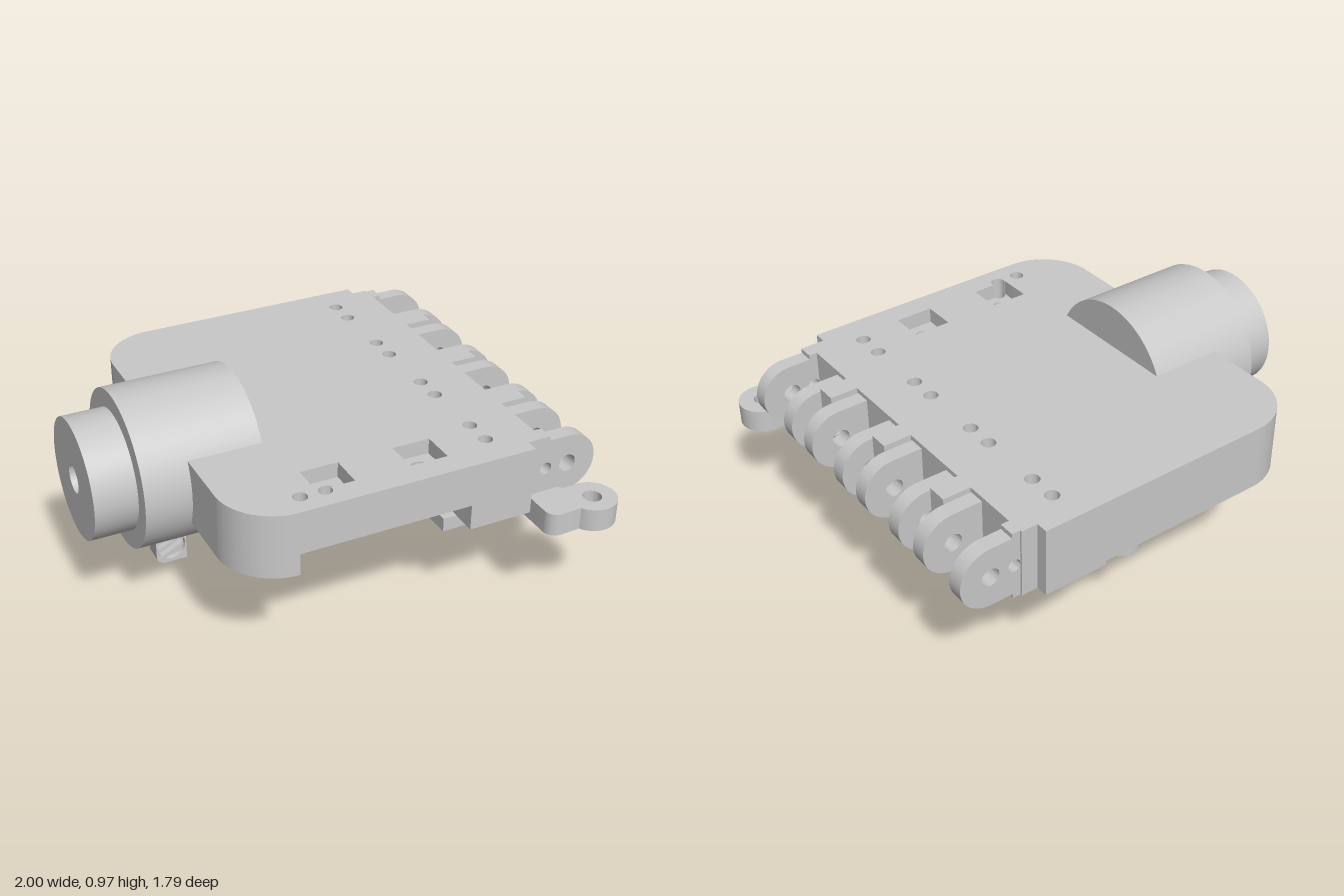
import * as THREE from 'three';
import { toCreasedNormals } from 'three/addons/utils/BufferGeometryUtils.js';

const metal = new THREE.MeshStandardMaterial({ color: 0xc8c8c8 });
metal.name = 'grey metal';

export function createModel() {
  const root = new THREE.Group();
  root.name = 'hingedHousing';

  const add = (name, geo) => {
    const m = new THREE.Mesh(geo, metal);
    m.name = name;
    root.add(m);
    return m;
  };
  const box = (name, x0, x1, y0, y1, z0, z1) => {
    const g = new THREE.BoxGeometry(x1 - x0, y1 - y0, z1 - z0);
    g.translate((x0 + x1) / 2, (y0 + y1) / 2, (z0 + z1) / 2);
    return add(name, g);
  };
  const circle = (x, y, r) => new THREE.Path().absarc(x, y, r, 0, Math.PI * 2, true);
  const rect = (x0, x1, y0, y1, T = THREE.Shape) => {
    const s = new T();
    s.moveTo(x0, y0); s.lineTo(x1, y0); s.lineTo(x1, y1); s.lineTo(x0, y1); s.closePath();
    return s;
  };
  const extrude = (shape, holes, depth) => {
    shape.holes.push(...holes);
    const g = new THREE.ExtrudeGeometry(shape, { depth, bevelEnabled: false, curveSegments: 20 });
    return toCreasedNormals(g, 0.6);
  };
  // Shape given in x,z; slab between two heights
  const slab = (name, shape, holes, y0, y1) =>
    add(name, extrude(shape, holes, y1 - y0).rotateX(Math.PI / 2).translate(0, y1, 0));

  // Plan outline with large rounded corners on the hub side
  const outline = (x0, x1, z0, z1, r, T = THREE.Shape) => {
    const s = new T();
    s.moveTo(x1, z0); s.lineTo(x1, z1); s.lineTo(x0 + r, z1);
    s.absarc(x0 + r, z1 - r, r, Math.PI / 2, Math.PI, false);
    s.lineTo(x0, z0 + r);
    s.absarc(x0 + r, z0 + r, r, Math.PI, Math.PI * 1.5, false);
    s.closePath();
    return s;
  };
  const body = () => outline(-0.625, 0.64, -0.895, 0.725, 0.24);

  const screwZ = [-0.745, -0.625, -0.345, -0.225, 0.055, 0.175, 0.455, 0.575];
  const screwHoles = () => screwZ.map(z => circle(0.5, z, 0.03));

  // Square pocket merging with a corner hole
  const pocket = new THREE.Path();
  pocket.moveTo(-0.268, 0.475); pocket.lineTo(-0.105, 0.475); pocket.lineTo(-0.105, 0.62);
  pocket.absarc(-0.237, 0.63, 0.03, -0.34, Math.PI + 0.34, false);
  pocket.lineTo(-0.268, 0.62); pocket.closePath();

  // Top plate with square pockets, then pocket floor with round holes
  slab('topPlate', body(), [...screwHoles(), circle(-0.34, 0.63, 0.03), pocket,
    rect(0.135, 0.3, 0.475, 0.62, THREE.Path)], 0.72, 0.787);
  slab('pocketFloor', body(), [...screwHoles(), circle(-0.34, 0.63, 0.03), circle(-0.237, 0.63, 0.03),
    circle(-0.185, 0.545, 0.035), circle(0.22, 0.545, 0.035)], 0.68, 0.72);

  // Side walls: closed rim above, open at the front below
  slab('upperRim', body(), [outline(-0.57, 0.36, -0.84, 0.67, 0.19, THREE.Path),
    ...screwHoles()], 0.6, 0.68);
  const lower = new THREE.Shape();
  lower.moveTo(-0.39, 0.725);
  lower.absarc(-0.385, 0.485, 0.24, Math.PI / 2, Math.PI, false);
  lower.lineTo(-0.625, -0.655);
  lower.absarc(-0.385, -0.655, 0.24, Math.PI, Math.PI * 1.5, false);
  lower.lineTo(0.36, -0.895); lower.lineTo(0.36, -0.84); lower.lineTo(-0.27, -0.84);
  lower.absarc(-0.27, -0.54, 0.3, Math.PI * 1.5, Math.PI, true);
  lower.lineTo(-0.57, 0.48);
  lower.absarc(-0.38, 0.48, 0.19, Math.PI, Math.PI / 2, true);
  lower.closePath();
  slab('lowerWall', lower, [], 0.505, 0.6);
  slab('hingeBeam', rect(0.36, 0.64, -0.895, 0.725), screwHoles(), 0.487, 0.6);
  box('recessedFrontWall', -0.39, 0.36, 0.5, 0.69, 0.465, 0.5);

  // Hinge face with pin holes and a central bore
  const face = extrude(rect(-0.845, 0.67, 0.487, 0.787),
    [...[0.525, 0.12, -0.28, -0.68].map(z => circle(z, 0.53, 0.027)), circle(-0.083, 0.637, 0.055)], 0.07);
  add('hingeFace', face.rotateY(-Math.PI / 2).translate(0.71, 0, 0));

  // Hinge knuckles in pairs; the two outermost have a cheek and a cross hole
  for (let i = 0; i < 8; i++) {
    const outer = i === 0 || i === 7;
    const s = new THREE.Shape();
    if (outer) { s.moveTo(0.7, 0.487); s.lineTo(0.745, 0.487); s.lineTo(0.745, 0.507); }
    else s.moveTo(0.7, 0.507);
    s.lineTo(0.84, 0.507);
    s.absarc(0.84, 0.637, 0.13, -Math.PI / 2, Math.PI / 2, false);
    if (outer) { s.lineTo(0.745, 0.767); s.lineTo(0.745, 0.787); s.lineTo(0.7, 0.787); }
    else s.lineTo(0.7, 0.767);
    s.closePath();
    const holes = [circle(0.84, 0.637, 0.038)];
    if (outer) holes.push(circle(0.737, 0.637, 0.027));
    const z = -0.836 + Math.floor(i / 2) * 0.401 + (i % 2) * 0.235;
    add('knuckle', extrude(s, holes, 0.067).translate(0, 0, z));
  }

  // Spacers between the pairs: the outer two slotted, the middle one bored
  for (const z of [-0.53, 0.275]) {
    box('spacerTop', 0.7, 0.83, 0.685, 0.787, z, z + 0.085);
    box('spacerBottom', 0.7, 0.83, 0.487, 0.605, z, z + 0.085);
  }
  for (const turn of [0, Math.PI]) {
    const s = new THREE.Shape();
    s.moveTo(-0.0425, -0.15); s.lineTo(0.0425, -0.15);
    s.absarc(0, 0, 0.055, -0.687, -Math.PI + 0.687, true);
    s.closePath();
    const g = extrude(s, [], 0.13).rotateY(-Math.PI / 2).rotateX(turn);
    add('middleSpacer', g.translate(0.83, 0.637, -0.083));
  }

  // Stepped round hub with a blind bore
  const hub = new THREE.LatheGeometry([
    [0, -0.6], [0.06, -0.6], [0.06, -1], [0.256, -1], [0.256, -0.82],
    [0.335, -0.82], [0.335, -0.31], [0, -0.31],
  ].map(p => new THREE.Vector2(...p)), 64);
  hub.rotateZ(-Math.PI / 2).translate(0, 0.637, -0.083);
  add('hub', toCreasedNormals(hub, 0.6));

  // Hanging leg with a cross hole and a round recess at its foot
  const leg = () => {
    const s = new THREE.Shape();
    s.moveTo(-0.49, 0); s.lineTo(-0.49, 0.45); s.lineTo(-0.63, 0.45); s.lineTo(-0.63, 0.04);
    s.absarc(-0.59, 0.04, 0.04, Math.PI, Math.PI * 1.5, false);
    s.closePath();
    return s;
  };
  const legHole = () => circle(-0.54, 0.29, 0.03);
  add('legBack', extrude(leg(), [legHole()], 0.06).translate(0, 0, -0.312));
  add('legFront', extrude(leg(), [legHole(), circle(-0.56, 0.08, 0.065)], 0.025).translate(0, 0, -0.252));
  for (const y of [0.055, 0.1]) {
    const g = new THREE.BoxGeometry(0.12, 0.016, 0.03).rotateZ(0.5);
    add('footRidge', g.translate(-0.56, y, -0.238));
  }

  // Posts under the body with screw bores
  for (const [z, top] of [[0.375, 0.69], [-0.745, 0.5]])
    slab('post', new THREE.Shape().absarc(0.17, z, 0.084, 0, Math.PI * 2, false),
      [circle(0.17, z, 0.035)], 0.398, top);
  box('postBoss', 0.04, 0.37, 0.5, 0.69, -0.85, -0.63);

  // Pads under the hinge beam
  box('frontPad', 0.3, 0.71, 0.43, 0.49, 0.49, 0.62);
  box('backPad', 0.3, 0.71, 0.43, 0.49, -0.78, -0.685);
  box('middlePad', 0.3, 0.45, 0.43, 0.49, -0.31, -0.22);

  // Mounting ear at the front corner
  const ear = new THREE.Shape();
  ear.moveTo(0.66, 0.65); ear.lineTo(0.79, 0.65); ear.lineTo(0.82, 0.686); ear.lineTo(0.893, 0.686);
  ear.absarc(0.893, 0.788, 0.104, -Math.PI / 2, Math.PI * 0.83, false);
  ear.lineTo(0.71, 0.845);
  ear.absarc(0.71, 0.795, 0.05, Math.PI / 2, Math.PI, false);
  ear.closePath();
  slab('mountingEar', ear, [circle(0.893, 0.788, 0.04)], 0.43, 0.53);

  return root;
}
